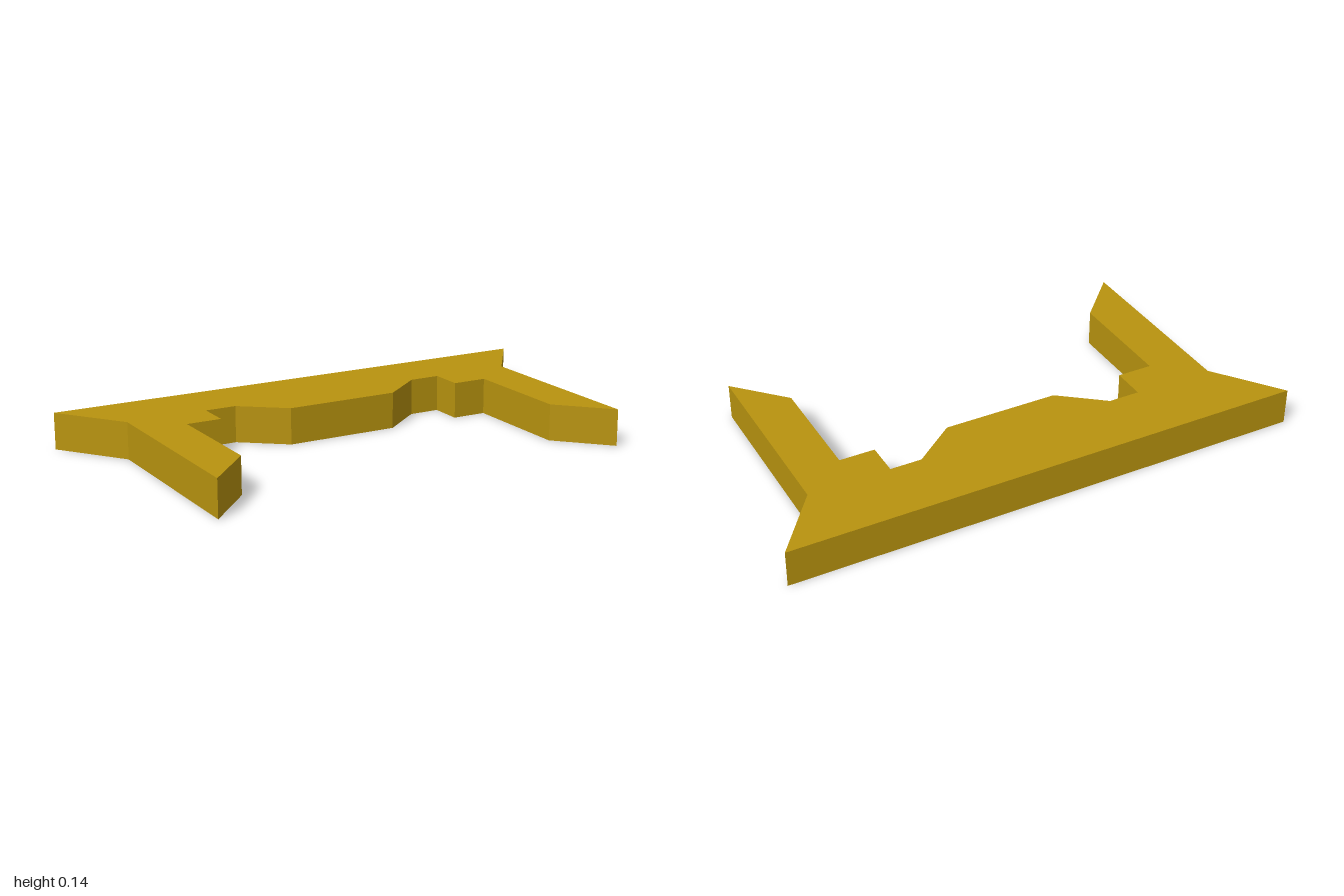
import * as THREE from 'three';

const HEIGHT = 0.14;

// Left half of the plan outline as [x, z], from the back corner to the middle
const HALF = [
  [1, -0.5], [0.815, -0.25],               // flared back corner
  [0.815, 0.5], [0.64, 0.317],             // arm with slanted tip
  [0.64, -0.12], [0.505, -0.12],           // inner shoulder
  [0.505, -0.25], [0.385, -0.25],          // notch
  [0.22, -0.12],                           // central tab
];

export function createModel() {
  const group = new THREE.Group();
  group.name = 'bracket';

  // Mirror the half outline and extrude it upwards
  const mirrored = HALF.map(([x, z]) => [-x, z]).reverse();
  const outline = [...HALF, ...mirrored].map(([x, z]) => new THREE.Vector2(x, -z));
  const geometry = new THREE.ExtrudeGeometry(new THREE.Shape(outline), {
    depth: HEIGHT, bevelEnabled: false,
  });
  geometry.rotateX(-Math.PI / 2);

  const plate = new THREE.Mesh(geometry, new THREE.MeshStandardMaterial({ color: 0xb8930f }));
  plate.name = 'bracketPlate';
  group.add(plate);
  return group;
}
